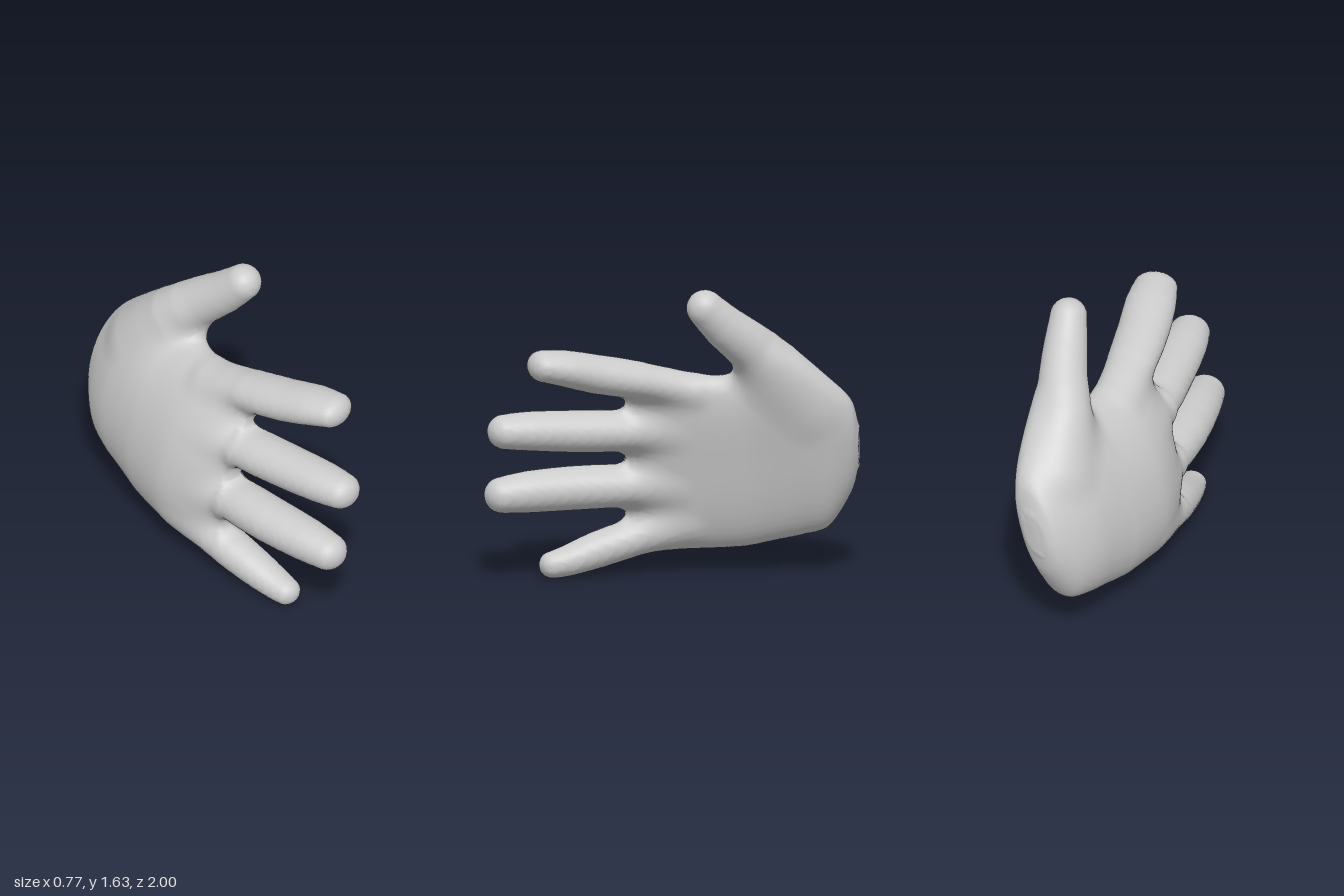
import * as THREE from 'three';

const lerp = THREE.MathUtils.lerp, clamp = THREE.MathUtils.clamp;
const curve = pts => new THREE.CatmullRomCurve3(pts.map(p => new THREE.Vector3(...p)), false, 'catmullrom', 0.45);

// Palm: sections are [z, bottom, top, half thickness, shift in x]
const PALM = [
  [-1.0, 0.6, 0.83, 0.07, 0.01], [-0.96, 0.45, 0.98, 0.125, 0.01], [-0.84, 0.26, 1.1, 0.175, 0.01],
  [-0.7, 0.21, 1.2, 0.195, 0], [-0.56, 0.18, 1.24, 0.2, 0], [-0.45, 0.155, 1.19, 0.2, 0],
  [-0.35, 0.14, 1.13, 0.2, 0], [-0.1, 0.13, 1.12, 0.185, 0], [0.06, 0.14, 1.13, 0.15, 0.015],
  [0.17, 0.18, 1.1, 0.11, 0.04], [0.24, 0.27, 1.02, 0.05, 0.06],
];

// Digits: control points are [x, y, z, radius across, radius through]
const FINGERS = {
  index: [[-0.03, 1.04, -0.1, 0.07, 0.1], [0.045, 1.105, 0.17, 0.1, 0.135], [0.13, 1.155, 0.4, 0.105, 0.14],
    [0.2, 1.2, 0.56, 0.098, 0.138], [0.25, 1.223, 0.675, 0.086, 0.12]],
  middle: [[-0.11, 0.8, -0.02, 0.08, 0.1], [-0.04, 0.81, 0.24, 0.11, 0.135], [0.05, 0.825, 0.52, 0.112, 0.135],
    [0.13, 0.842, 0.76, 0.105, 0.128], [0.175, 0.847, 0.885, 0.094, 0.11]],
  ring: [[-0.17, 0.49, -0.02, 0.08, 0.1], [-0.115, 0.495, 0.24, 0.113, 0.13], [-0.045, 0.495, 0.52, 0.118, 0.135],
    [0.035, 0.49, 0.76, 0.112, 0.125], [0.085, 0.482, 0.9, 0.098, 0.108]],
  little: [[-0.21, 0.27, -0.08, 0.08, 0.1], [-0.165, 0.205, 0.19, 0.1, 0.115], [-0.1, 0.145, 0.4, 0.098, 0.108],
    [-0.045, 0.098, 0.55, 0.083, 0.095], [-0.018, 0.08, 0.635, 0.073, 0.08]],
};
const THUMB = [[-0.1, 0.95, -0.72, 0.14, 0.14], [-0.015, 1.17, -0.54, 0.15, 0.15], [0.08, 1.31, -0.41, 0.132, 0.132],
  [0.15, 1.42, -0.29, 0.118, 0.118], [0.205, 1.535, -0.185, 0.1, 0.1]];

// Splits a digit into short straight pieces with an oval cross-section
function segments(points) {
  const path = curve(points.map(p => p.slice(0, 3))).getPoints(8);
  const radii = curve(points.map(p => [p[3], p[4], 0])).getPoints(8);
  return path.slice(1).map((end, i) => {
    const start = path[i], length = start.distanceTo(end);
    const T = end.clone().sub(start).normalize();
    const B = new THREE.Vector3(0, 1, 0).addScaledVector(T, -T.y).normalize();
    return { start, length, T, B, C: new THREE.Vector3().crossVectors(T, B), r0: radii[i], r1: radii[i + 1] };
  });
}

const offset = new THREE.Vector3();
function digitDistance(p, pieces) {
  let best = Infinity;
  for (const s of pieces) {
    offset.subVectors(p, s.start);
    const along = offset.dot(s.T), u = clamp(along / s.length, 0, 1);
    const rb = lerp(s.r0.x, s.r1.x, u), rc = lerp(s.r0.y, s.r1.y, u), rt = Math.min(rb, rc);
    const q = Math.hypot(offset.dot(s.B) / rb, offset.dot(s.C) / rc, (along - u * s.length) / rt);
    best = Math.min(best, (q - 1) * rt);
  }
  return best;
}

const outline = curve(PALM.map(s => s.slice(0, 3))).getPoints(100);
const depth = curve(PALM.map(s => [s[3], s[4], 0])).getPoints(100);
function palmDistance(p) {
  const z = clamp(p.z, -1, 0.24);
  const i = Math.max(1, outline.findIndex(o => o.x >= z - 1e-9));
  const a = outline[i - 1], b = outline[i], u = (z - a.x) / (b.x - a.x);
  const bottom = lerp(a.y, b.y, u), top = lerp(a.z, b.z, u), half = (top - bottom) / 2;
  const thick = lerp(depth[i - 1].x, depth[i].x, u), shift = lerp(depth[i - 1].y, depth[i].y, u);
  // the slab curls towards +x as it rises
  const mid = -0.23 + 0.26 * Math.max(0, p.y - 0.2) ** 2 + shift;
  const v = Math.abs(p.y - (top + bottom) / 2) / half, w = Math.abs(p.x - mid) / thick;
  const n = 2.2, q = (v ** n + w ** n) ** (1 / n) + 1e-6;
  const slope = Math.hypot((v / q) ** (n - 1) / half, (w / q) ** (n - 1) / thick) + 1e-6;
  return Math.max((q - 1) / slope, Math.abs(p.z - z) > 0 ? Math.abs(p.z - z) : -1);
}

// Joins two shapes with a soft fillet of width k
function blend(a, b, k) {
  const h = Math.max(k - Math.abs(a - b), 0) / k;
  return Math.min(a, b) - h * h * k / 4;
}

const fingerPieces = Object.values(FINGERS).map(segments), thumbPieces = segments(THUMB);
function handDistance(p) {
  const fingers = fingerPieces.map(f => digitDistance(p, f)).reduce((a, b) => blend(a, b, 0.04));
  return blend(blend(palmDistance(p), digitDistance(p, thumbPieces), 0.12), fingers, 0.08);
}

// Wraps one continuous skin around the region where the distance is negative
function skin(field, min, size, h) {
  const n = size.map(s => Math.ceil(s / h) + 1), step = [1, n[0], n[0] * n[1]];
  const values = new Float32Array(n[0] * n[1] * n[2]), cells = new Map(), pos = [], index = [];
  const p = new THREE.Vector3(), g = new THREE.Vector3();
  const each = (from, to, fn) => {
    for (let k = from; k < n[2] - to; k++)
      for (let j = from; j < n[1] - to; j++)
        for (let i = from; i < n[0] - to; i++) fn(i, j, k, i + j * step[1] + k * step[2]);
  };
  each(0, 0, (i, j, k, id) => {
    values[id] = field(p.set(min[0] + i * h, min[1] + j * h, min[2] + k * h));
  });
  // one vertex in every cell that the surface crosses, pulled onto the surface
  each(0, 1, (i, j, k, id) => {
    const sum = [0, 0, 0];
    let count = 0;
    for (let c = 0; c < 8; c++) {
      const bits = [c & 1, (c >> 1) & 1, c >> 2];
      const a = id + bits[0] + bits[1] * step[1] + bits[2] * step[2];
      for (let axis = 0; axis < 3; axis++) {
        const b = a + step[axis];
        if (bits[axis] || (values[a] < 0) === (values[b] < 0)) continue;
        const t = values[a] / (values[a] - values[b]);
        bits.forEach((bit, m) => { sum[m] += bit + (m === axis ? t : 0); });
        count++;
      }
    }
    if (!count) return;
    p.set(i + sum[0] / count, j + sum[1] / count, k + sum[2] / count).multiplyScalar(h);
    p.add(g.fromArray(min));
    const d = field(p), e = 0.002, grad = ['x', 'y', 'z'].map(axis => {
      p[axis] += e;
      const slope = (field(p) - d) / e;
      p[axis] -= e;
      return slope;
    });
    g.fromArray(grad);
    p.addScaledVector(g, clamp(-d / Math.max(g.lengthSq(), 0.2), -h / 3, h / 3));
    cells.set(id, pos.length / 3);
    pos.push(p.x, p.y, p.z);
  });
  // one quad around every grid edge that the surface crosses
  each(1, 1, (i, j, k, id) => {
    for (let axis = 0; axis < 3; axis++) {
      const inside = values[id] < 0;
      if (inside === (values[id + step[axis]] < 0)) continue;
      const s = step[(axis + 1) % 3], t = step[(axis + 2) % 3];
      const [a, b, c, d] = [id - s - t, id - t, id, id - s].map(cell => cells.get(cell));
      if (inside) index.push(a, b, c, a, c, d); else index.push(a, c, b, a, d, c);
    }
  });
  const geometry = new THREE.BufferGeometry();
  geometry.setAttribute('position', new THREE.Float32BufferAttribute(pos, 3));
  geometry.setIndex(index);
  geometry.computeVertexNormals();
  return geometry;
}

export function createModel() {
  const model = new THREE.Group();
  model.name = 'openHand';
  const hand = new THREE.Mesh(
    skin(handDistance, [-0.5, -0.08, -1.08], [1, 1.8, 2.16], 0.022),
    new THREE.MeshStandardMaterial({ color: 0xcccccc }));
  hand.name = 'hand';
  model.add(hand);
  return model;
}
